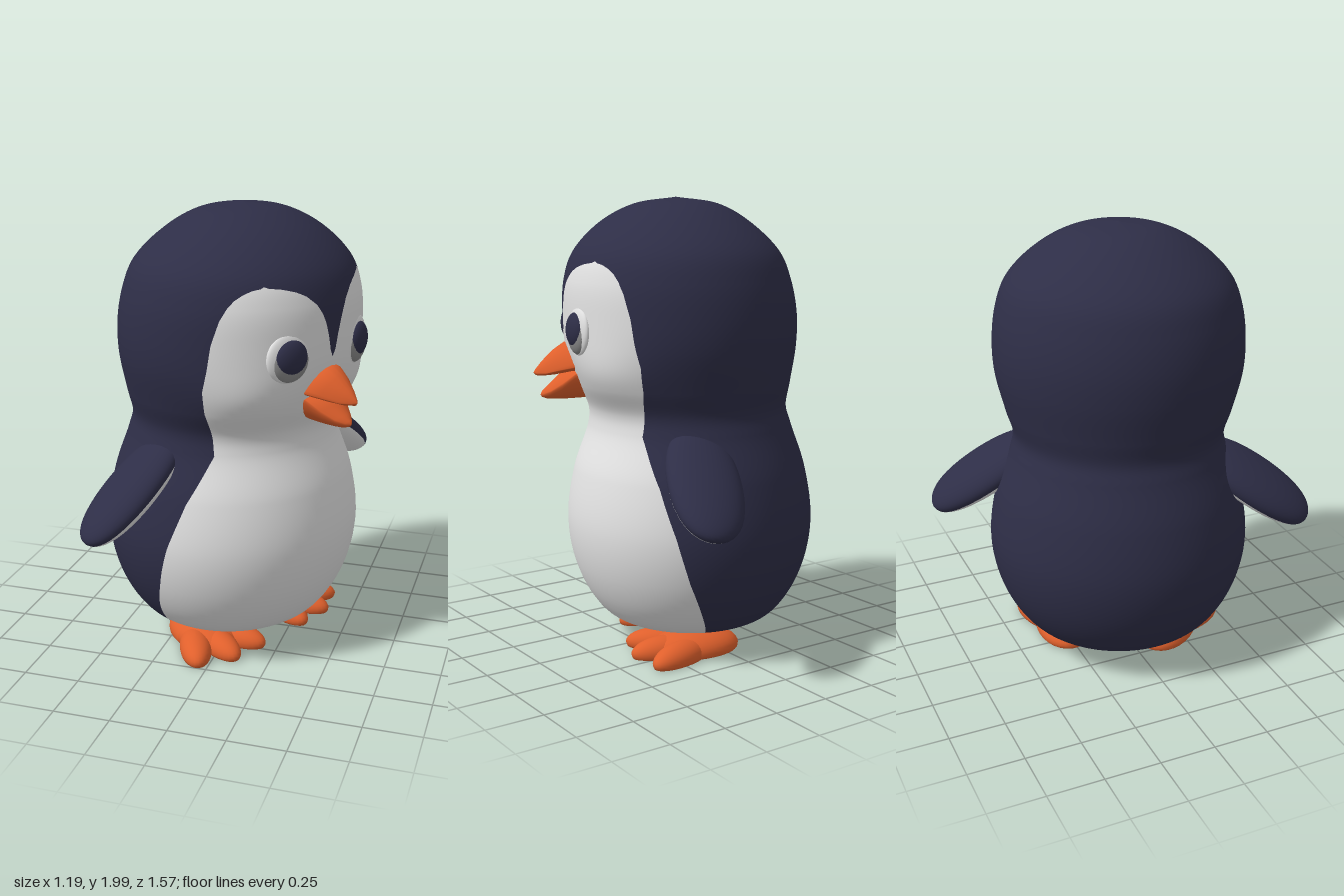
import * as THREE from 'three';

const mat = (name, color) => Object.assign(new THREE.MeshStandardMaterial({ color }), { name });
const navy = mat('navy feathers', 0x2e2e47);
const white = mat('white feathers', 0xe4e4e4);
const orange = mat('orange skin', 0xe0602c);
const grey = mat('grey eye rim', 0x8c8c8c);

const rad = THREE.MathUtils.degToRad;

// Linear interpolation through [key, value] pairs
function lookup(table, k) {
  if (k <= table[0][0]) return table[0][1];
  for (let i = 1; i < table.length; i++) {
    const [k0, v0] = table[i - 1], [k1, v1] = table[i];
    if (k <= k1) return v0 + (v1 - v0) * (k - k0) / (k1 - k0);
  }
  return table[table.length - 1][1];
}

// Body profile: half width, height, forward shift
const profile = new THREE.CatmullRomCurve3([
  [0.002, 0.1, -0.03], [0.28, 0.1, -0.03], [0.4, 0.14, -0.03], [0.485, 0.23, -0.03],
  [0.557, 0.38, -0.03], [0.588, 0.57, -0.03], [0.555, 0.8, -0.03], [0.485, 1.0, -0.03],
  [0.472, 1.08, -0.02], [0.505, 1.19, -0.005], [0.547, 1.36, 0.01], [0.553, 1.5, 0.015],
  [0.535, 1.64, 0.025], [0.488, 1.76, 0.03], [0.355, 1.89, 0.035], [0.2, 1.97, 0.03],
  [0.002, 2.0, 0.03],
].map(p => new THREE.Vector3(...p)), false, 'centripetal');

// Outer edge of the white belly and face, and the dark peak between the eyes, in degrees
const outerEdge = [[0.1, 93], [0.2, 89], [0.4, 81], [0.6, 75], [0.8, 67], [1.0, 55], [1.08, 57],
  [1.2, 61], [1.3, 62], [1.4, 60], [1.5, 58.5], [1.6, 55.5], [1.65, 52.5], [1.68, 49.5], [1.7, 46],
  [1.715, 42], [1.725, 36]];
const innerEdge = [[1.41, 0], [1.44, 1.6], [1.5, 3], [1.56, 5], [1.6, 7], [1.64, 10], [1.68, 15.5],
  [1.7, 20.5], [1.715, 27], [1.725, 36]];

function bodyPoint(p, a) {
  const d = (Math.abs(a) - rad(40)) / rad(25), e = (p.y - 1.24) / 0.12;
  const r = p.x + 0.03 * Math.exp(-d * d - e * e); // cheeks
  return new THREE.Vector3(r * Math.sin(a), p.y, p.z + 0.94 * r * Math.cos(a));
}

function bodyGeometry() {
  const rows = 260, seg = [30, 14, 12, 14, 30];
  const cols = seg.reduce((s, n) => s + n, 0) + 1;
  const pos = [], nor = [], index = [];
  for (let i = 0; i <= rows; i++) {
    const t = i / rows, p = profile.getPoint(t);
    const p0 = profile.getPoint(Math.max(0, t - 0.002)), p1 = profile.getPoint(Math.min(1, t + 0.002));
    const o = rad(lookup(outerEdge, p.y)), n = rad(lookup(innerEdge, p.y));
    const stops = [-Math.PI, -o, -n, n, o, Math.PI];
    const angles = [-Math.PI];
    seg.forEach((m, s) => {
      for (let j = 1; j <= m; j++) angles.push(stops[s] + (stops[s + 1] - stops[s]) * j / m);
    });
    for (const a of angles) {
      pos.push(...bodyPoint(p, a).toArray());
      const du = bodyPoint(p, a + 0.01).sub(bodyPoint(p, a - 0.01));
      const dv = bodyPoint(p1, a).sub(bodyPoint(p0, a));
      nor.push(...du.cross(dv).normalize().toArray());
    }
  }
  const g = new THREE.BufferGeometry();
  let start = 0;
  seg.forEach((m, s) => {
    const first = index.length;
    for (let i = 0; i < rows; i++) for (let j = start; j < start + m; j++) {
      const a = i * cols + j, b = a + 1, c = a + cols, d = c + 1;
      index.push(a, b, c, b, d, c);
    }
    g.addGroup(first, index.length - first, s % 2); // odd sectors are white
    start += m;
  });
  g.setAttribute('position', new THREE.Float32BufferAttribute(pos, 3));
  g.setAttribute('normal', new THREE.Float32BufferAttribute(nor, 3));
  g.setIndex(index);
  return g;
}

// Closed tapering form from rows of [z, half width, top, height of widest point, bottom]
function billGeometry(rows) {
  const n = 24, pos = [], index = [];
  rows.forEach(([z, w, top, mid, bottom]) => {
    for (let j = 0; j < n; j++) {
      const a = j / n * Math.PI * 2, s = Math.sin(a), c = Math.cos(a);
      const y = mid + (s > 0 ? top - mid : mid - bottom) * Math.sign(s) * Math.abs(s) ** 1.5;
      pos.push(w * c, y, z - 0.3 * w * c * c);
    }
  });
  for (let i = 0; i < rows.length - 1; i++) for (let j = 0; j < n; j++) {
    const k = (j + 1) % n, a = i * n + j, b = i * n + k, c = a + n, d = b + n;
    index.push(a, b, c, b, d, c);
  }
  const g = new THREE.BufferGeometry();
  g.setAttribute('position', new THREE.Float32BufferAttribute(pos, 3));
  g.setIndex(index);
  g.computeVertexNormals();
  return g;
}

function add(parent, name, geometry, material) {
  const m = new THREE.Mesh(geometry, material);
  m.name = name;
  parent.add(m);
  return m;
}

function group(parent, name) {
  const g = new THREE.Group();
  g.name = name;
  parent.add(g);
  return g;
}

// Ellipsoid flattened where it meets the ground
function padGeometry(rx, ry, rz) {
  const g = new THREE.SphereGeometry(1, 28, 20).scale(rx, ry, rz);
  const p = g.attributes.position;
  for (let i = 0; i < p.count; i++) p.setY(i, Math.max(p.getY(i), -0.02) + 0.03);
  g.computeVertexNormals();
  return g;
}

// Slice of a flat paddle with blunt ends
function paddleGeometry(from, to) {
  const g = new THREE.SphereGeometry(1, 48, 16, 0, Math.PI * 2, from, to - from);
  const p = g.attributes.position;
  for (let i = 0; i < p.count; i++) {
    p.setX(i, 0.7 * p.getX(i) + 0.3 * Math.sin(p.getX(i) * Math.PI / 2));
  }
  return g.scale(0.305, 0.082, 0.163);
}

export function createModel() {
  const model = new THREE.Group();
  model.name = 'penguin';
  const bird = group(model, 'bird');
  bird.rotation.y = rad(64); // stands turned towards its left

  add(bird, 'headAndBody', bodyGeometry(), [navy, white]);

  // Beak, slightly open, its halves meeting at the corners
  const beak = group(bird, 'beak');
  add(beak, 'upperBeak', billGeometry([[0.45, 0.145, 1.375, 1.275, 1.24], [0.53, 0.135, 1.37, 1.27, 1.235],
    [0.58, 0.1, 1.335, 1.255, 1.225], [0.63, 0.055, 1.285, 1.235, 1.22], [0.658, 0.02, 1.25, 1.232, 1.222],
    [0.667, 0, 1.234, 1.234, 1.234]]), orange);
  add(beak, 'lowerBeak', billGeometry([[0.43, 0.135, 1.265, 1.25, 1.12], [0.525, 0.122, 1.255, 1.235, 1.115],
    [0.57, 0.09, 1.21, 1.19, 1.115], [0.61, 0.055, 1.172, 1.155, 1.117], [0.632, 0.025, 1.15, 1.14, 1.125],
    [0.638, 0, 1.135, 1.135, 1.135]]), orange);

  const ball = new THREE.SphereGeometry(1, 32, 20);
  for (const s of [-1, 1]) {
    const side = s > 0 ? 'left' : 'right';

    // Eye: white ball, grey rim showing below, dark pupil
    const eye = group(bird, side + 'Eye');
    eye.position.set(s * 0.215, 1.435, 0.478);
    eye.rotation.y = s * rad(16);
    [['eyeball', white, 0.108, 0, 0.03, 0], ['eyeRim', grey, 0.088, 0.006, 0.036, -0.013],
      ['pupil', navy, 0.078, 0.012, 0.04, 0.002]].forEach(([name, m, r, z, depth, y]) => {
      const e = add(eye, name, ball, m);
      e.position.set(0, y, z);
      e.scale.set(r, r, depth);
    });

    // Wing with a white underside
    const wing = group(bird, side + 'Wing');
    wing.position.set(s * 0.612, 0.838, -0.025 + s * 0.028);
    wing.rotation.set(-0.25, 0, -s * 0.6, 'ZXY');
    const split = Math.PI * 0.57;
    add(wing, 'wingTop', paddleGeometry(0, split), navy);
    add(wing, 'wingUnderside', paddleGeometry(split, Math.PI), white);

    // Webbed foot with three toes, the left one set a little wider
    const foot = group(bird, side + 'Foot');
    foot.position.set(s * 0.255 + 0.015, 0, 0.02);
    foot.rotation.y = s * 0.26;
    add(foot, 'heel', padGeometry(0.135, 0.085, 0.21), orange).position.z = -0.03;
    for (const a of [-0.46, 0, 0.46]) {
      const toe = add(foot, 'toe', padGeometry(0.072, 0.065, 0.165), orange);
      toe.rotation.y = a;
      toe.position.set(0.23 * Math.sin(a), 0, -0.12 + 0.22 * Math.cos(a));
    }
  }
  return model;
}
